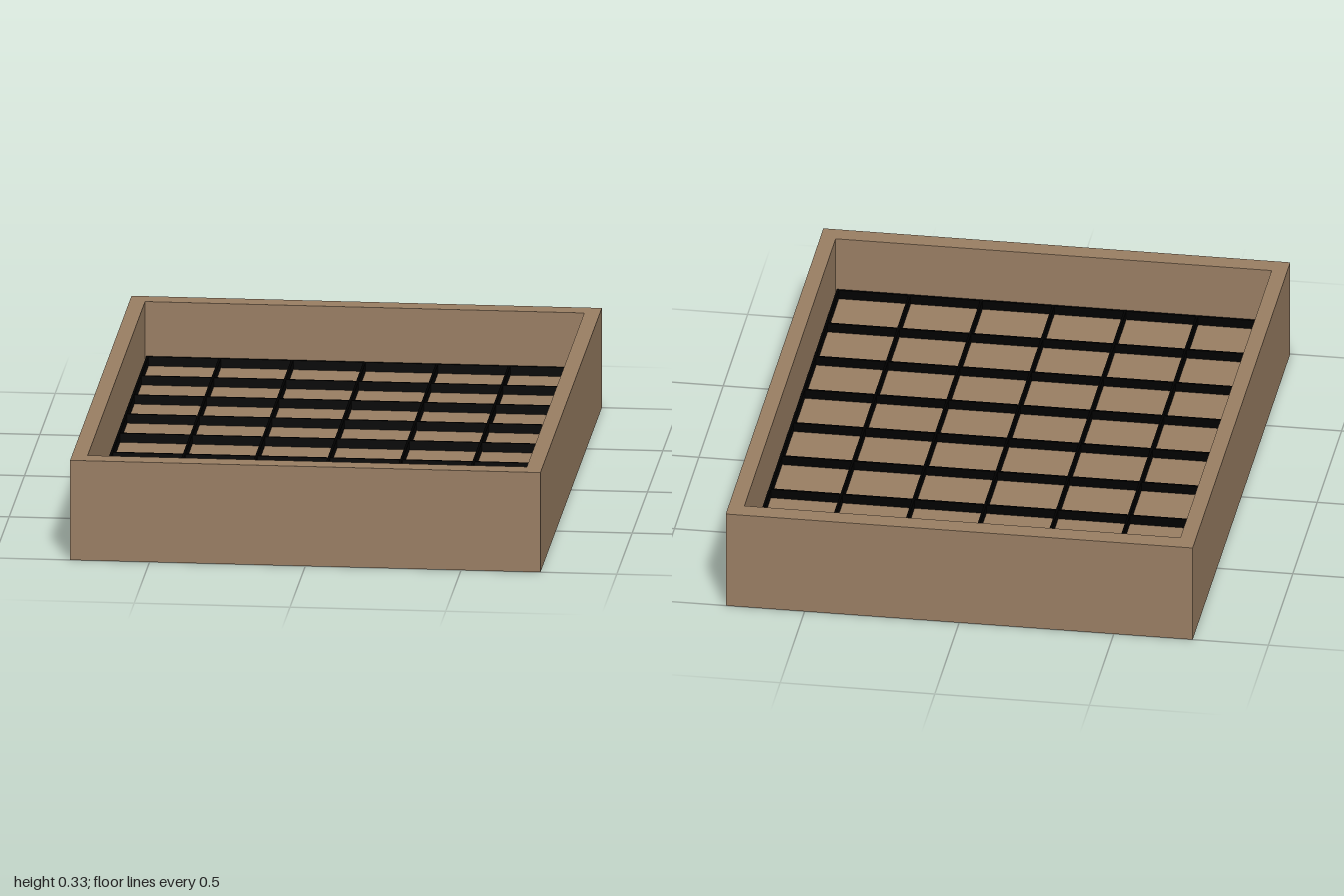
import * as THREE from 'three';

const WIDTH = 1.51, LENGTH = 2, HEIGHT = 0.33, FLOOR = 0.12;
const INNER_X = 0.705, INNER_Z = 0.935;
const COLS = 6, ROWS = 8, CELL = 0.2323;
const SLAT_H = 0.03, SLAT_T = 0.008;

function rectangle(Type, x, z) {
  return new Type([[-x, -z], [x, -z], [x, z], [-x, z]].map(([a, b]) => new THREE.Vector2(a, b)));
}

// Extrude a flat outline upward from height y
function slab(shape, y, height) {
  const geometry = new THREE.ExtrudeGeometry(shape, { depth: height, bevelEnabled: false });
  return geometry.rotateX(-Math.PI / 2).translate(0, y, 0);
}

export function createModel() {
  const model = new THREE.Group();
  model.name = 'griddedTray';
  const wood = new THREE.MeshStandardMaterial({ color: 0x997e63 });
  const black = new THREE.MeshStandardMaterial({ color: 0x000000 });

  const add = (parent, name, geometry, material) => {
    const mesh = new THREE.Mesh(geometry, material);
    mesh.name = name;
    parent.add(mesh);
    return mesh;
  };

  // Solid base and the raised frame around it
  const outline = rectangle(THREE.Shape, WIDTH / 2, LENGTH / 2);
  add(model, 'base', slab(outline, 0, FLOOR), wood);
  const frame = rectangle(THREE.Shape, WIDTH / 2, LENGTH / 2);
  frame.holes.push(rectangle(THREE.Path, INNER_X, INNER_Z));
  add(model, 'frame', slab(frame, FLOOR, HEIGHT - FLOOR), wood);

  // Thin upright slats dividing the floor into square cells
  const grid = new THREE.Group();
  grid.name = 'grid';
  model.add(grid);
  const y = FLOOR + SLAT_H / 2;
  const long = new THREE.BoxGeometry(SLAT_T, SLAT_H, ROWS * CELL + SLAT_T);
  const cross = new THREE.BoxGeometry(COLS * CELL + SLAT_T, SLAT_H, SLAT_T);
  for (let i = 0; i <= COLS; i++) {
    add(grid, 'lengthSlat', long, black).position.set((i - COLS / 2) * CELL, y, 0);
  }
  for (let j = 0; j <= ROWS; j++) {
    add(grid, 'crossSlat', cross, black).position.set(0, y, (j - ROWS / 2) * CELL);
  }
  return model;
}
